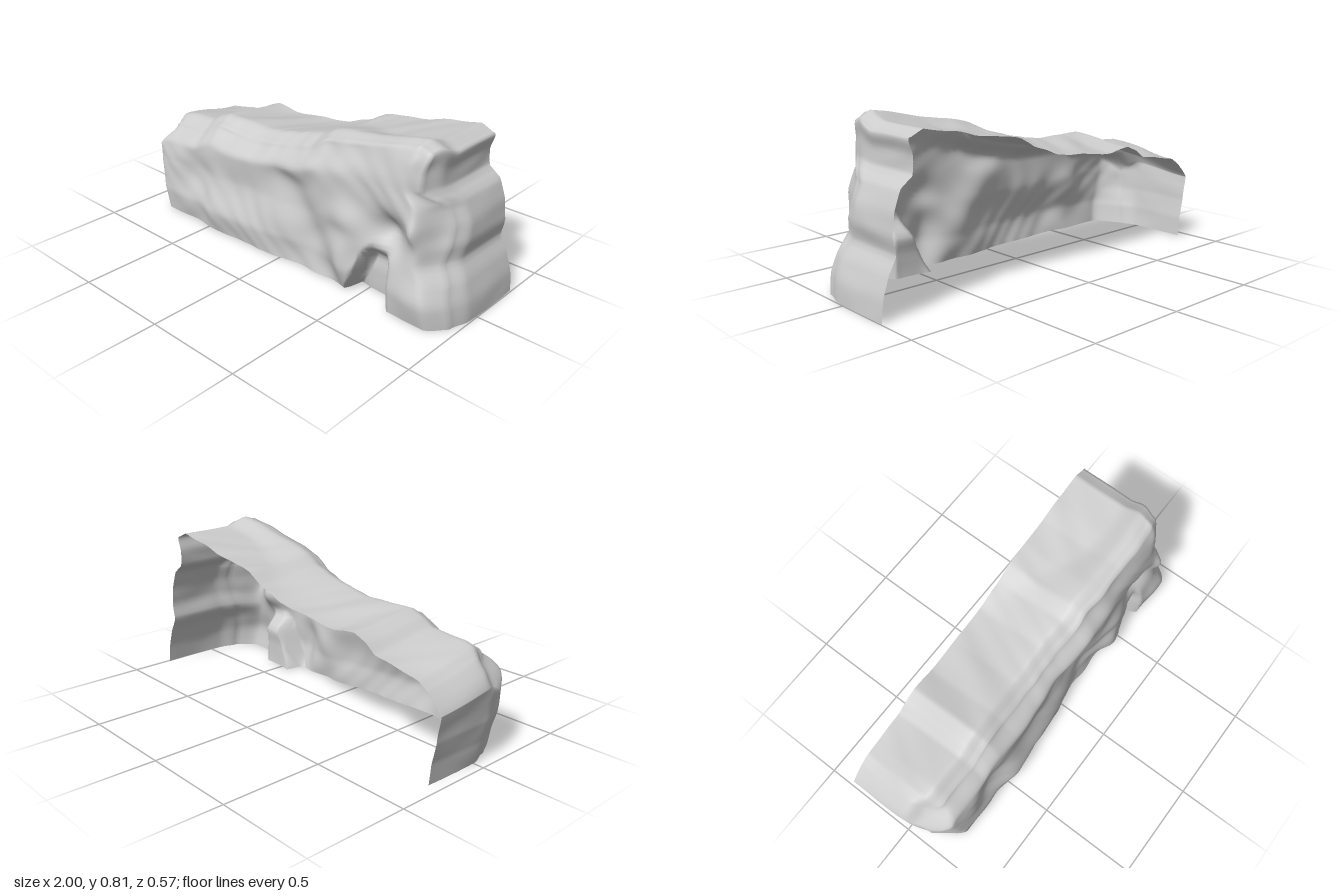
import * as THREE from 'three';
import { mergeVertices } from 'three/addons/utils/BufferGeometryUtils.js';

const { lerp, smoothstep, clamp } = THREE.MathUtils;
const BACK = -0.288;

// Piecewise-linear lookup through [input, output] pairs
function along(points, v) {
  if (v <= points[0][0]) return points[0][1];
  for (let i = 1; i < points.length; i++) {
    const [a, p] = points[i - 1], [b, q] = points[i];
    if (v <= b) return lerp(p, q, (v - a) / (b - a));
  }
  return points[points.length - 1][1];
}

// Height of the top along x, and the two end outlines along y
const TOP = [[-1, 0.39], [-0.95, 0.45], [-0.87, 0.5], [-0.8, 0.515], [-0.62, 0.53], [-0.57, 0.565], [-0.5, 0.595],
  [-0.38, 0.582], [-0.2, 0.592], [0, 0.62], [0.15, 0.668], [0.23, 0.715], [0.35, 0.74], [0.5, 0.76],
  [0.65, 0.795], [0.77, 0.822], [0.84, 0.795]];
const LEFT_END = [[0, -0.95], [0.1, -0.96], [0.2, -0.985], [0.3, -0.995], [0.37, -1], [0.42, -0.97], [0.46, -0.94]];
const RIGHT_END = [[0, 1], [0.1, 0.99], [0.2, 0.96], [0.27, 0.92], [0.35, 0.935], [0.45, 0.925], [0.55, 0.89],
  [0.6, 0.83], [0.7, 0.825], [0.77, 0.845]];
// Drop of the top towards its back edge
const BACK_DROP = [[-1, 0.05], [-0.8, 0.06], [-0.55, 0.045], [-0.1, 0.045], [0.25, 0.04], [0.6, 0.04], [0.84, 0.05]];
// Depth of the front face by height, and how far its end corners are cut back
const FRONT = [[0, 0.24], [0.12, 0.25], [0.3, 0.225], [0.5, 0.22], [0.65, 0.21], [0.75, 0.2], [0.82, 0.185]];
const LEFT_CUT = [[0, 0.13], [0.2, 0.1], [0.35, 0.07], [0.5, 0.06]];
const RIGHT_CUT = [[0, 0.08], [0.18, 0.09], [0.28, 0.1], [0.4, 0.12], [0.54, 0.13], [0.6, 0.03], [0.8, 0.02]];

// Swellings and hollows of the front: x, y, radius x, radius y, depth
const BUMPS = [
  [-0.4, 0.1, 0.22, 0.1, 0.025], [-0.78, 0.28, 0.12, 0.12, 0.02], [-0.6, 0.25, 0.1, 0.12, -0.015],
  [0.1, 0.08, 0.18, 0.2, -0.035], [-0.15, 0.33, 0.15, 0.1, -0.015],
  [0.43, 0.36, 0.09, 0.07, 0.03], [0.4, 0.14, 0.06, 0.12, 0.025], [0.2, 0.57, 0.14, 0.06, 0.015],
  [0.65, 0.37, 0.09, 0.08, -0.075], [0.88, 0.42, 0.06, 0.11, -0.04], [0.79, 0.43, 0.035, 0.06, 0.03],
  [0.84, 0.1, 0.13, 0.12, 0.015],
];

// Smooth rocky roughness
function rough(x, y, z) {
  const u = x + 0.12 * Math.sin(8 * y + 3 * x), v = y + 0.1 * Math.sin(7 * x + 5 * z);
  return 0.5 * Math.sin(8 * u + 9 * v + 6 * z) * Math.cos(13 * v - 4 * u)
    + 0.4 * Math.sin(15 * u - 12 * v + 9 * z + 1.3)
    + 0.3 * Math.sin(27 * u + 17 * z) * Math.sin(25 * v + 9 * u);
}

function frontDepth(x, y, a, b) {
  let z = along(FRONT, y) + 0.01 * rough(x, y, 0.2);
  for (const [cx, cy, rx, ry, d] of BUMPS) z += d * Math.exp(-(((x - cx) / rx) ** 2) - ((y - cy) / ry) ** 2);
  // Slanting valley below the raised slab
  const valley = (x - 0.28 + 0.75 * (y - 0.1)) / 0.12;
  z -= 0.035 * Math.exp(-valley * valley) * (1 - smoothstep(y, 0.42, 0.56));
  // Triangular cleft between the main mass and the corner boulder
  const edge = 0.42 + 0.45 * y;
  const cleft = smoothstep(x, edge, edge + 0.025) * (1 - smoothstep(x, 0.63, 0.68)) * (1 - smoothstep(y, 0.18, 0.3));
  z -= 0.11 * cleft;
  // Rounded shoulders at the top and both ends
  z -= lerp(0.07, 0.02, smoothstep(x, -0.1, 0.6)) * smoothstep(b, 0.78, 1);
  const corner = clamp((Math.abs(a) - 0.87) / 0.13, 0, 1);
  z -= along(a < 0 ? LEFT_CUT : RIGHT_CUT, y) * corner ** 1.7;
  return Math.min(z, 0.288);
}

// Maps a point of a unit block (a, c in -1..1, b in 0..1) to the rock face
function shape(a, b, c) {
  let x = a, y = 0;
  for (let i = 0; i < 5; i++) {
    y = b * along(TOP, x);
    x = lerp(along(LEFT_END, y), along(RIGHT_END, y), (a + 1) / 2);
  }
  const t = (c + 1) / 2;
  const z = lerp(BACK, frontDepth(x, y, a, b), t);
  // The top dips behind its crest and rolls over to the front
  const raised = smoothstep(x, -0.1, 0.6);
  const fall = along(BACK_DROP, x) * (1 - smoothstep(z, lerp(-0.3, -0.02, raised), 0.12))
    + lerp(0.045, 0.022, raised) * smoothstep(t, 0.82, 1);
  y += b ** 5 * (0.007 * rough(x, 0, z) - fall - 0.002);
  // Ends: rounded corners and slight roughness
  const end = smoothstep(Math.abs(a), 0.85, 1);
  x -= Math.sign(a) * end * (0.03 * smoothstep(t, 0.75, 1) + 0.006 * (1 + rough(0.3, y, z)));
  return [clamp(x, -1, 1), Math.max(0, y), z];
}

// Block shell without its back and underside
function rockGeometry() {
  const box = new THREE.BoxGeometry(2, 1, 2, 140, 36, 24);
  const source = Array.from(box.index.array);
  const index = [];
  box.groups.forEach((g, i) => {
    if (i === 3 || i === 5) return;
    for (let k = g.start; k < g.start + g.count; k++) index.push(source[k]);
  });
  box.setIndex(index);
  box.clearGroups();
  box.deleteAttribute('uv');
  box.deleteAttribute('normal');
  const geometry = mergeVertices(box, 1e-4);
  const p = geometry.attributes.position;
  for (let i = 0; i < p.count; i++) p.setXYZ(i, ...shape(p.getX(i), p.getY(i) + 0.5, p.getZ(i)));
  geometry.computeVertexNormals();
  return geometry;
}

export function createModel() {
  const model = new THREE.Group();
  model.name = 'rockLedge';
  const material = new THREE.MeshStandardMaterial({ color: 0xcccccc, side: THREE.DoubleSide });
  const rock = new THREE.Mesh(rockGeometry(), material);
  rock.name = 'rockShell';
  model.add(rock);
  return model;
}
